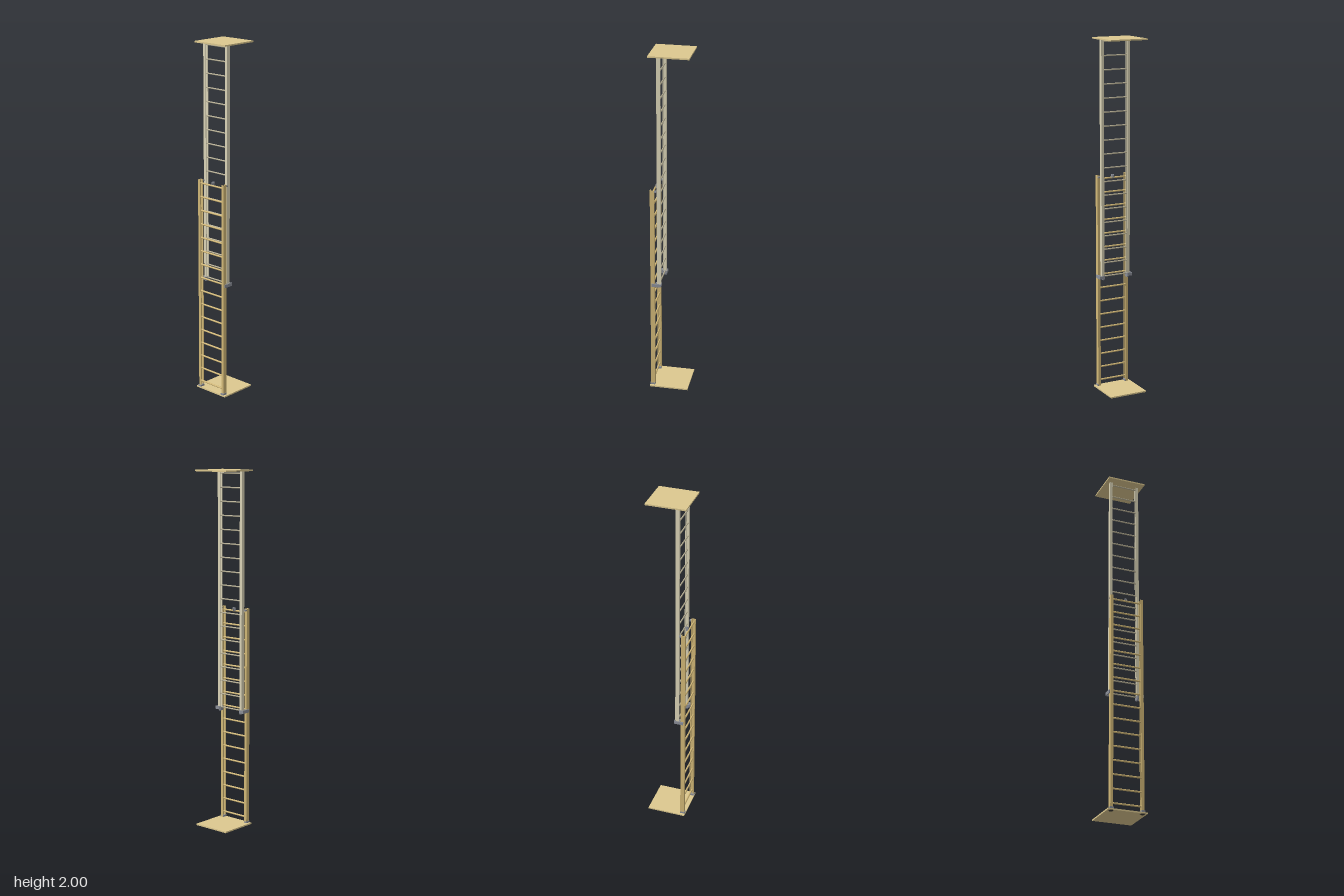
import * as THREE from 'three';

const material = (color) => new THREE.MeshStandardMaterial({ color });

export function createModel() {
  const group = new THREE.Group();
  const wood = material(0xdcc88f);
  const paleRail = material(0xdcd5b8);
  const tan = material(0xd2b877);
  const paleRung = material(0xb9b196);
  const steel = material(0x8b8f98);
  const rubber = material(0x3c3a36);

  function add(name, geometry, mat, x, y, z, parent = group) {
    const mesh = new THREE.Mesh(geometry, mat);
    mesh.name = name;
    mesh.position.set(x, y, z);
    parent.add(mesh);
    return mesh;
  }
  const box = (name, w, h, d, mat, x, y, z, parent) =>
    add(name, new THREE.BoxGeometry(w, h, d), mat, x, y, z, parent);

  // C-channel rail: web on the outside, flanges pointing at the rungs
  function rail(name, side, outer, width, depth, y0, y1, z, mat, parent) {
    const t = 0.004;
    const points = [
      [0, -depth / 2], [0, depth / 2], [-width, depth / 2], [-width, depth / 2 - t],
      [-t, depth / 2 - t], [-t, -depth / 2 + t], [-width, -depth / 2 + t], [-width, -depth / 2],
    ].map(([x, d]) => new THREE.Vector2(side * (outer + x), d));
    const geometry = new THREE.ExtrudeGeometry(new THREE.Shape(points), {
      depth: y1 - y0, bevelEnabled: false,
    });
    geometry.rotateX(-Math.PI / 2);
    add(name, geometry, mat, 0, y0, z, parent);
  }

  function ladder(spec) {
    const section = new THREE.Group();
    section.name = spec.name;
    for (const side of [-1, 1]) {
      rail(side > 0 ? 'leftRail' : 'rightRail', side, spec.outer, spec.width, spec.depth,
        spec.y0, spec.y1, spec.z, spec.rail, section);
    }
    const rung = new THREE.CylinderGeometry(spec.radius, spec.radius, 2 * spec.outer - 0.006, 12);
    rung.rotateZ(Math.PI / 2);
    for (let i = 0; i < spec.count; i++) {
      add('rung', rung, spec.rung, 0, spec.first + i * spec.step, spec.z, section);
    }
    group.add(section);
  }

  // Floor and ceiling boards
  box('floorBoard', 0.222, 0.008, 0.222, wood, 0, 0.005, 0);
  box('topBoard', 0.222, 0.008, 0.222, wood, 0, 1.996, 0);

  // Front base section and rear sliding section
  ladder({
    name: 'lowerLadder', outer: 0.096, width: 0.016, depth: 0.024, y0: 0.009, y1: 1.24,
    z: 0.094, first: 0.042, step: 0.0785, count: 16, radius: 0.005, rail: tan, rung: tan,
  });
  ladder({
    name: 'upperLadder', outer: 0.088, width: 0.016, depth: 0.021, y0: 0.66, y1: 1.992,
    z: 0.058, first: 0.667, step: 0.0772, count: 18, radius: 0.004, rail: paleRail, rung: paleRung,
  });

  for (const side of [-1, 1]) {
    // Swivel shoe with a rubber pad under each base rail
    box('foot', 0.02, 0.012, 0.028, steel, side * 0.088, 0.013, 0.096);
    box('footPad', 0.022, 0.006, 0.029, rubber, side * 0.088, 0.003, 0.096);
    // Guide bracket and rung lock joining the two sections
    box('guideOuterPlate', 0.005, 0.018, 0.054, steel, side * 0.099, 0.662, 0.071);
    box('guideBackPlate', 0.028, 0.018, 0.004, steel, side * 0.086, 0.662, 0.046);
    box('guideMiddlePlate', 0.028, 0.018, 0.008, steel, side * 0.086, 0.662, 0.075);
    box('rungLock', 0.01, 0.024, 0.022, steel, side * 0.076, 0.658, 0.06);
    // Stop at the head of the base rail
    box('railStop', 0.014, 0.008, 0.012, steel, side * 0.088, 1.231, 0.077);
  }

  // Rope pulley on the top rung of the base section
  const wheel = new THREE.CylinderGeometry(0.008, 0.008, 0.006, 16);
  wheel.rotateZ(Math.PI / 2);
  add('pulleyWheel', wheel, steel, 0, 1.234, 0.082);
  for (const side of [-1, 1]) {
    box('pulleyCheek', 0.002, 0.02, 0.012, steel, side * 0.005, 1.229, 0.087);
  }
  return group;
}
